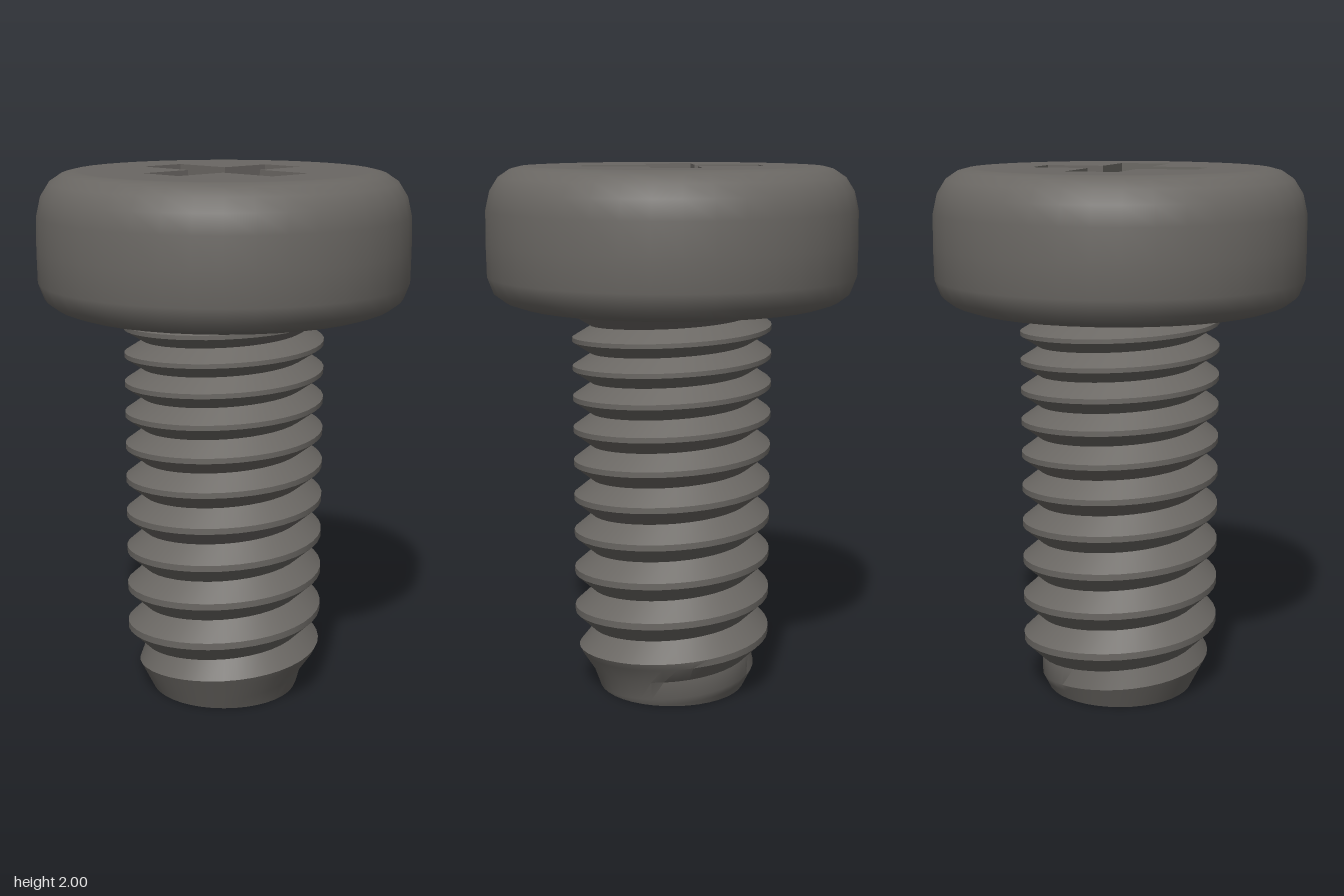
import * as THREE from 'three';
import { toCreasedNormals, mergeGeometries } from 'three/addons/utils/BufferGeometryUtils.js';

const TOP = 2, SEGS = 40;
const FLAT_R = 0.54;                 // flat area on top of the head
const AX = 0.09, AZ = 0.095;         // half widths of the cross slots
const LX = 0.332, LZ = 0.314;        // reach of the cross slots
const Y_END = 1.92, Y_CORE = 1.74;   // slot floor at its end and at the core

const steel = new THREE.MeshStandardMaterial({ color: 0x6a6763 });
steel.name = 'dark steel';

function add(group, name, geometry) {
  const mesh = new THREE.Mesh(geometry, steel);
  mesh.name = name;
  group.add(mesh);
  return mesh;
}

function fromQuads(quads) {
  const pos = quads.flatMap(([a, b, c, d]) => [a, b, c, a, c, d].flat());
  const g = new THREE.BufferGeometry();
  g.setAttribute('position', new THREE.Float32BufferAttribute(pos, 3));
  g.computeVertexNormals();
  return g;
}

// One slot of the cross recess, running along +x, floor sloping to the core
function slot(a, w, L) {
  return fromQuads([
    [[a, Y_CORE, w], [L, Y_END, w], [L, Y_END, -w], [a, Y_CORE, -w]],
    [[L, Y_END, -w], [L, Y_END, w], [L, TOP, w], [L, TOP, -w]],
    [[a, Y_CORE, -w], [L, Y_END, -w], [L, TOP, -w], [a, TOP, -w]],
    [[L, Y_END, w], [a, Y_CORE, w], [a, TOP, w], [L, TOP, w]],
  ]);
}

function recess() {
  const parts = [fromQuads([[[-AX, Y_CORE, AZ], [AX, Y_CORE, AZ], [AX, Y_CORE, -AZ], [-AX, Y_CORE, -AZ]]])];
  for (let i = 0; i < 4; i++) {
    const arm = i % 2 ? slot(AZ, AX, LZ) : slot(AX, AZ, LX);
    parts.push(arm.rotateY(i * Math.PI / 2));
  }
  return mergeGeometries(parts);
}

// Flat top of the head with the cross cut out
function headTop() {
  const shape = new THREE.Shape();
  for (let i = 0; i < SEGS; i++) {
    const t = i / SEGS * Math.PI * 2;
    const x = FLAT_R * Math.cos(t), y = FLAT_R * Math.sin(t);
    if (i) shape.lineTo(x, y); else shape.moveTo(x, y);
  }
  const cross = [
    [LX, -AZ], [LX, AZ], [AX, AZ], [AX, LZ], [-AX, LZ], [-AX, AZ],
    [-LX, AZ], [-LX, -AZ], [-AX, -AZ], [-AX, -LZ], [AX, -LZ], [AX, -AZ],
  ].map(([x, y]) => new THREE.Vector2(x, y));
  shape.holes.push(new THREE.Path(cross));
  return new THREE.ShapeGeometry(shape).rotateX(-Math.PI / 2).translate(0, TOP, 0);
}

// Helical thread: rows follow the helix, pitch tightens towards the head
function threadedShaft() {
  const profile = [[0, 0.305], [0.42, 0.375], [0.58, 0.375]];
  const rows = 3 * 15, pos = [], index = [];
  for (let i = 0; i <= rows; i++) {
    const [f, radius] = profile[i % 3];
    for (let j = 0; j <= SEGS; j++) {
      const turn = Math.floor(i / 3) - 2 + f + j / SEGS + 0.14;
      const y = THREE.MathUtils.clamp(0.17 * turn - 0.0033 * turn * turn, 0, 1.52);
      const r = Math.min(radius, 0.28 + y * 0.5);
      const t = j / SEGS * Math.PI * 2;
      pos.push(r * Math.sin(t), y, r * Math.cos(t));
      if (i < rows && j < SEGS) {
        const a = i * (SEGS + 1) + j, b = a + SEGS + 1;
        index.push(a, a + 1, b + 1, a, b + 1, b);
      }
    }
  }
  const g = new THREE.BufferGeometry();
  g.setAttribute('position', new THREE.Float32BufferAttribute(pos, 3));
  g.setIndex(index);
  return toCreasedNormals(g, 0.6);
}

export function createModel() {
  const screw = new THREE.Group();
  screw.name = 'machineScrew';

  // Head: rounded drum with a cross recess
  const head = new THREE.Group();
  head.name = 'head';
  screw.add(head);
  const outline = [
    [0.2, 1.495], [0.58, 1.495], [0.625, 1.51], [0.665, 1.54], [0.688, 1.6], [0.69, 1.72],
    [0.688, 1.84], [0.672, 1.91], [0.64, 1.96], [0.595, 1.99], [0.56, 1.999], [FLAT_R, TOP],
  ].map(([r, y]) => new THREE.Vector2(r, y));
  add(head, 'headRim', new THREE.LatheGeometry(outline, SEGS));
  add(head, 'headTop', headTop());
  add(head, 'crossRecess', recess());

  // Shaft with thread and flat end
  add(screw, 'threadedShaft', threadedShaft());
  add(screw, 'shaftEnd', new THREE.CircleGeometry(0.28, SEGS).rotateX(Math.PI / 2));

  return screw;
}
